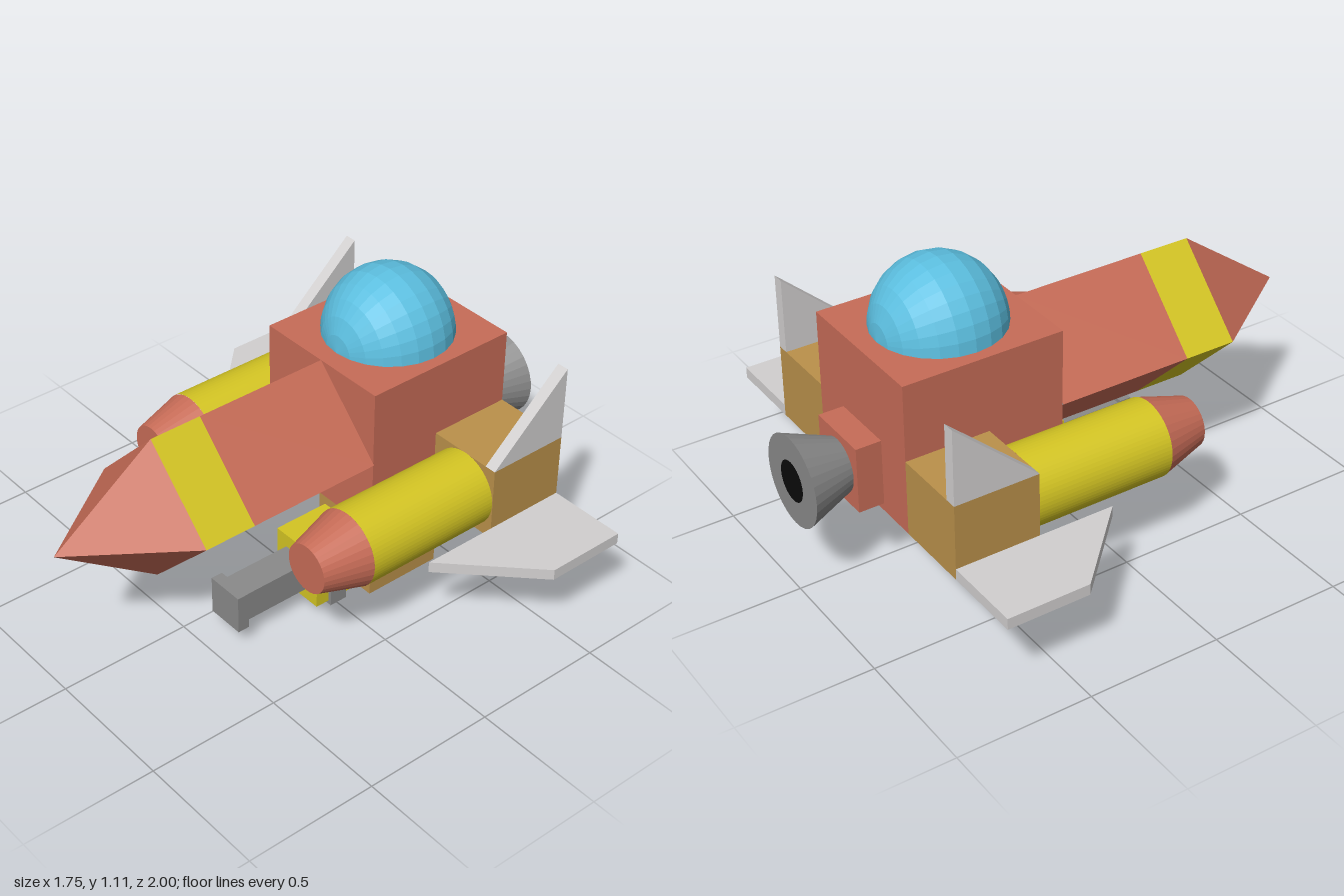
import * as THREE from 'three';

export function createModel() {
  const model = new THREE.Group();

  const mat = (name, color, flat = true) => {
    const m = new THREE.MeshStandardMaterial({ color, flatShading: flat });
    m.name = name;
    return m;
  };
  const red = mat('brick red', 0xc76c57);
  const yellow = mat('yellow', 0xd4c523);
  const tan = mat('tan', 0xbb914b);
  const gray = mat('mid gray', 0x8a8a8a);
  const pale = mat('pale gray', 0xd2d0d0);
  const blue = mat('sky blue', 0x5cbfe0);
  const black = mat('black', 0x0a0a0a);

  const add = (name, geometry, material) => {
    const mesh = new THREE.Mesh(geometry, material);
    mesh.name = name;
    model.add(mesh);
    return mesh;
  };
  // Box given by its extents on each axis
  const box = (name, material, [x0, x1], [y0, y1], [z0, z1]) => {
    const g = new THREE.BoxGeometry(x1 - x0, y1 - y0, z1 - z0);
    g.translate((x0 + x1) / 2, (y0 + y1) / 2, (z0 + z1) / 2);
    return add(name, g, material);
  };
  // Cylinder or frustum lying along z, from z0 (radius r0) to z1 (radius r1)
  const tubeZ = (x, y, z0, z1, r0, r1, sides, open = false, rows = 1) =>
    new THREE.CylinderGeometry(r1, r0, z1 - z0, sides, rows, open)
      .rotateX(Math.PI / 2)
      .translate(x, y, (z0 + z1) / 2);
  const shapeOf = (pts) => new THREE.Shape(pts.map(([x, y]) => new THREE.Vector2(x, y)));

  // Hull: cabin block, diamond-section fuselage with a painted band, pointed nose
  box('cabin', red, [-0.28, 0.28], [0.29, 0.86], [-0.73, -0.12]);
  add('fuselage', tubeZ(0, 0.575, -0.12, 0.4, 0.285, 0.285, 4, true), red);
  add('fuselageBand', tubeZ(0, 0.575, 0.4, 0.6, 0.285, 0.285, 4, true), yellow);
  add('nose', tubeZ(0, 0.575, 0.6, 1, 0.285, 0, 4, true), red);

  // Canopy: half sphere with its poles at front and back
  const dome = new THREE.SphereGeometry(0.237, 16, 12, 0, Math.PI).rotateX(-Math.PI / 2);
  dome.scale(1, 1.035, 1).translate(0, 0.86, -0.425);
  add('canopy', dome, blue);

  // Main engine
  box('engineMount', red, [-0.125, 0.125], [0.32, 0.57], [-0.825, -0.73]);
  add('engineNozzle', tubeZ(0, 0.443, -0.998, -0.825, 0.167, 0.1, 32), gray);
  add('engineOpening', new THREE.CircleGeometry(0.075, 32).rotateY(Math.PI).translate(0, 0.443, -1), black);

  // Paint on the side pods: angle in degrees around the pod, 0 = +x, 90 = up
  const podRadius = 0.143;
  const near = (angle, z, a, c, r) =>
    Math.hypot(THREE.MathUtils.degToRad(angle - a) * podRadius, z - c) < r;
  const paint = (side, angle, z) => {
    if (side < 0) return angle > -30 && angle < 65 ? 1 : 0;
    if (angle < 2) return 0;
    const crescent = near(angle, z, 62, -0.27, 0.14) && !near(angle, z, 100, -0.29, 0.1);
    return crescent || near(angle, z, 150, 0.14, 0.09) ? 2 : 1;
  };
  const paintedPod = (side) => {
    const cx = side * 0.43, cy = 0.433;
    const g = tubeZ(cx, cy, -0.41, 0.125, podRadius, podRadius, 64, true, 40);
    const pos = g.attributes.position, idx = g.index.array;
    const lists = [[], [], []];
    for (let i = 0; i < idx.length; i += 6) {
      const quad = Array.from(idx.slice(i, i + 6));
      const mean = (get) => quad.reduce((sum, v) => sum + get(v), 0) / 6;
      const x = mean((v) => pos.getX(v)) - cx;
      const y = mean((v) => pos.getY(v)) - cy;
      const z = mean((v) => pos.getZ(v));
      lists[paint(side, THREE.MathUtils.radToDeg(Math.atan2(y, x)), z)].push(...quad);
    }
    g.setIndex(lists.flat());
    let start = 0;
    lists.forEach((list, m) => {
      g.addGroup(start, list.length, m);
      start += list.length;
    });
    return g;
  };

  for (const s of [1, -1]) {
    const side = s > 0 ? 'left' : 'right';
    const span = (a, b) => (s > 0 ? [a, b] : [-b, -a]);

    // Side block and the pod in front of it
    box(side + 'SideBlock', tan, span(0.28, 0.575), [0.29, 0.575], [-0.73, -0.41]);
    add(side + 'Pod', paintedPod(s), [yellow, black, pale]);
    add(side + 'PodNose', tubeZ(s * 0.43, 0.433, 0.125, 0.3, podRadius, 0.092, 32), red);

    // Upright triangular fin
    const fin = new THREE.ExtrudeGeometry(
      shapeOf([[0.41, 0.575], [0.73, 0.575], [0.73, 0.86]]),
      { depth: 0.045, bevelEnabled: false });
    fin.rotateY(Math.PI / 2).translate(span(0.53, 0.575)[0], 0, 0);
    add(side + 'Fin', fin, pale);

    // Flat swept wing
    const wing = new THREE.ExtrudeGeometry(
      shapeOf([[s * 0.575, 0.12], [s * 0.875, 0.42], [s * 0.875, 0.73], [s * 0.575, 0.73]]),
      { depth: 0.042, bevelEnabled: false });
    wing.rotateX(-Math.PI / 2).translate(0, 0.29, 0);
    add(side + 'Wing', wing, pale);
  }

  // Gun under the cabin, set to one side
  box('gunMount', tan, [0, 0.28], [0, 0.29], [-0.43, -0.12]);
  box('gunBody', yellow, [0.03, 0.248], [0.037, 0.257], [-0.12, 0.1]);
  box('gunCollar', gray, [0.042, 0.26], [0.022, 0.24], [-0.025, 0.045]);
  box('gunBarrel', gray, [0.08, 0.197], [0.09, 0.206], [0.1, 0.38]);
  box('gunMuzzle', gray, [0.065, 0.212], [0.073, 0.221], [0.375, 0.42]);

  return model;
}
